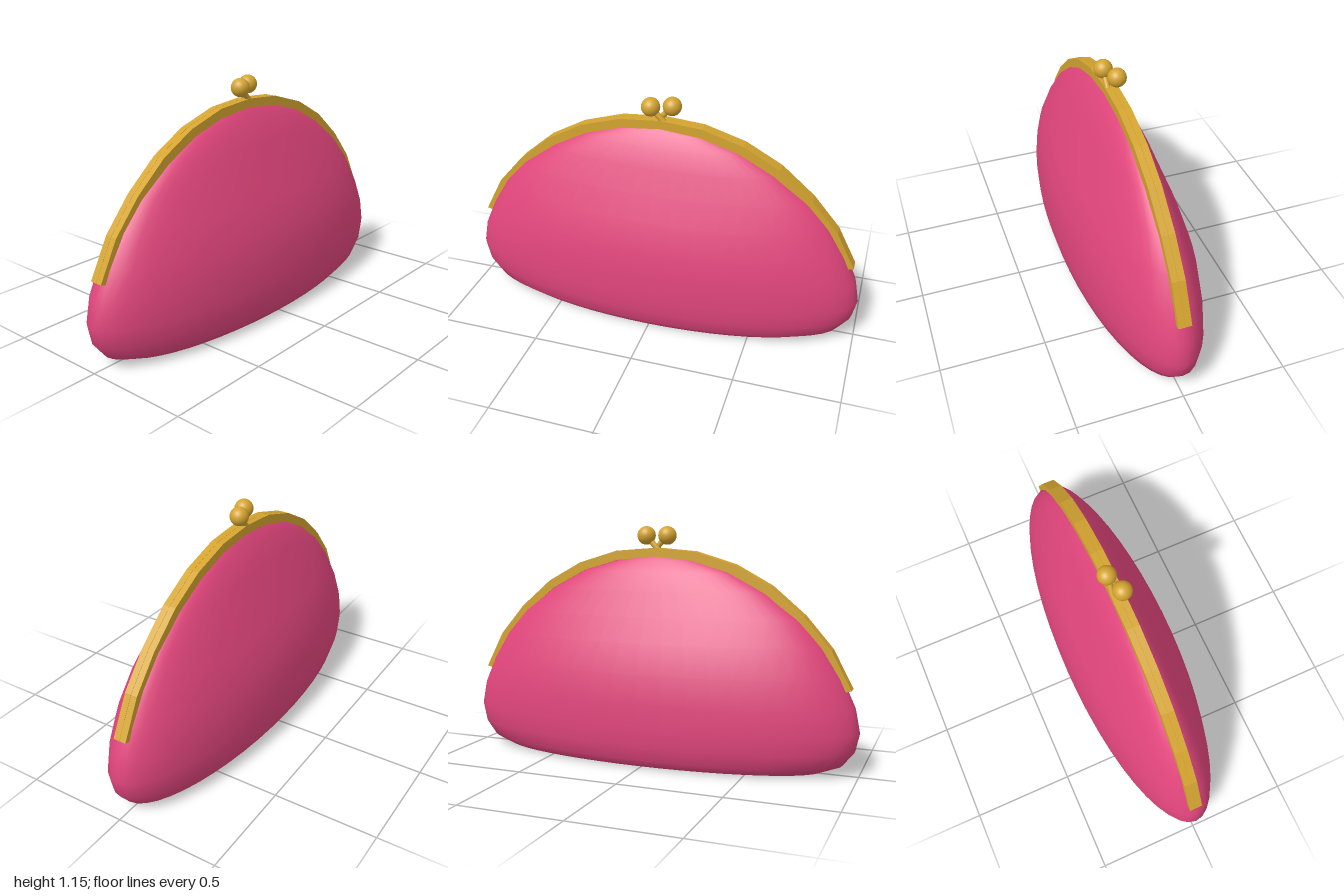
import * as THREE from 'three';

export function createModel() {
  const pink = new THREE.MeshStandardMaterial({ color: 0xe0457b });
  pink.name = 'pink fabric';
  const gold = new THREE.MeshStandardMaterial({ color: 0xd4a430 });
  gold.name = 'gold metal';

  const model = new THREE.Group();
  model.name = 'clutchPurse';
  const add = (name, geometry, material) => {
    const mesh = new THREE.Mesh(geometry, material);
    mesh.name = name;
    model.add(mesh);
    return mesh;
  };

  // Fabric pouch: elliptical rings, each [height, half width, half depth]
  const rings = [
    [0.02, 0.005, 0.002], [0.015, 0.4, 0.11], [0.003, 0.72, 0.2], [0.013, 0.83, 0.236],
    [0.05, 0.925, 0.263], [0.12, 0.98, 0.28], [0.21, 1, 0.285], [0.325, 0.977, 0.28],
    [0.46, 0.915, 0.264], [0.6, 0.83, 0.217], [0.72, 0.725, 0.168], [0.84, 0.565, 0.122],
    [0.93, 0.4, 0.08], [0.985, 0.23, 0.04], [1.01, 0.1, 0.02], [1.02, 0.005, 0.002],
  ];
  const sides = 48;
  const positions = [], indices = [];
  rings.forEach(([y, w, d], i) => {
    for (let j = 0; j < sides; j++) {
      const t = (j / sides) * Math.PI * 2;
      positions.push(w * Math.cos(t), y, d * Math.sin(t));
      if (i === rings.length - 1) continue;
      const a = i * sides + j, b = i * sides + (j + 1) % sides;
      indices.push(a, a + sides, b, b, a + sides, b + sides);
    }
  });
  const pouch = new THREE.BufferGeometry();
  pouch.setAttribute('position', new THREE.Float32BufferAttribute(positions, 3));
  pouch.setIndex(indices);
  pouch.computeVertexNormals();
  add('pouch', pouch, pink);

  // Metal frame: faceted arch made of a front and a back half
  const outer = [[0, 1.046], [0.2, 1.03], [0.4, 0.97], [0.575, 0.875], [0.735, 0.74], [0.865, 0.59], [0.96, 0.41]];
  const inner = [[0, 1.004], [0.195, 0.985], [0.375, 0.932], [0.55, 0.84], [0.7, 0.722], [0.825, 0.585], [0.935, 0.403]];
  const mirror = (pts) => pts.slice(1).reverse().map(([x, y]) => [-x, y]);
  const outline = [...mirror(outer), ...outer, ...[...mirror(inner), ...inner].reverse()];
  const arch = new THREE.Shape(outline.map(([x, y]) => new THREE.Vector2(x, y)));
  const half = new THREE.ExtrudeGeometry(arch, { depth: 0.031, bevelEnabled: false });
  add('frontFrame', half, gold).position.z = -0.002;
  add('backFrame', half, gold).position.z = -0.034;

  // Kiss-lock clasp: two balls on crossing stems
  const up = new THREE.Vector3(0, 1, 0);
  for (const [side, x, z] of [['front', -0.05, 0.014], ['back', 0.045, -0.02]]) {
    const top = new THREE.Vector3(x, 1.105, z);
    const foot = new THREE.Vector3(-Math.sign(x) * 0.02, 1.03, z);
    const dir = top.clone().sub(foot);
    const stem = add(side + 'ClaspStem', new THREE.CylinderGeometry(0.014, 0.014, dir.length(), 12), gold);
    stem.position.copy(foot).addScaledVector(dir, 0.5);
    stem.quaternion.setFromUnitVectors(up, dir.normalize());
    add(side + 'ClaspBall', new THREE.SphereGeometry(0.045, 24, 16), gold).position.copy(top);
  }
  return model;
}
